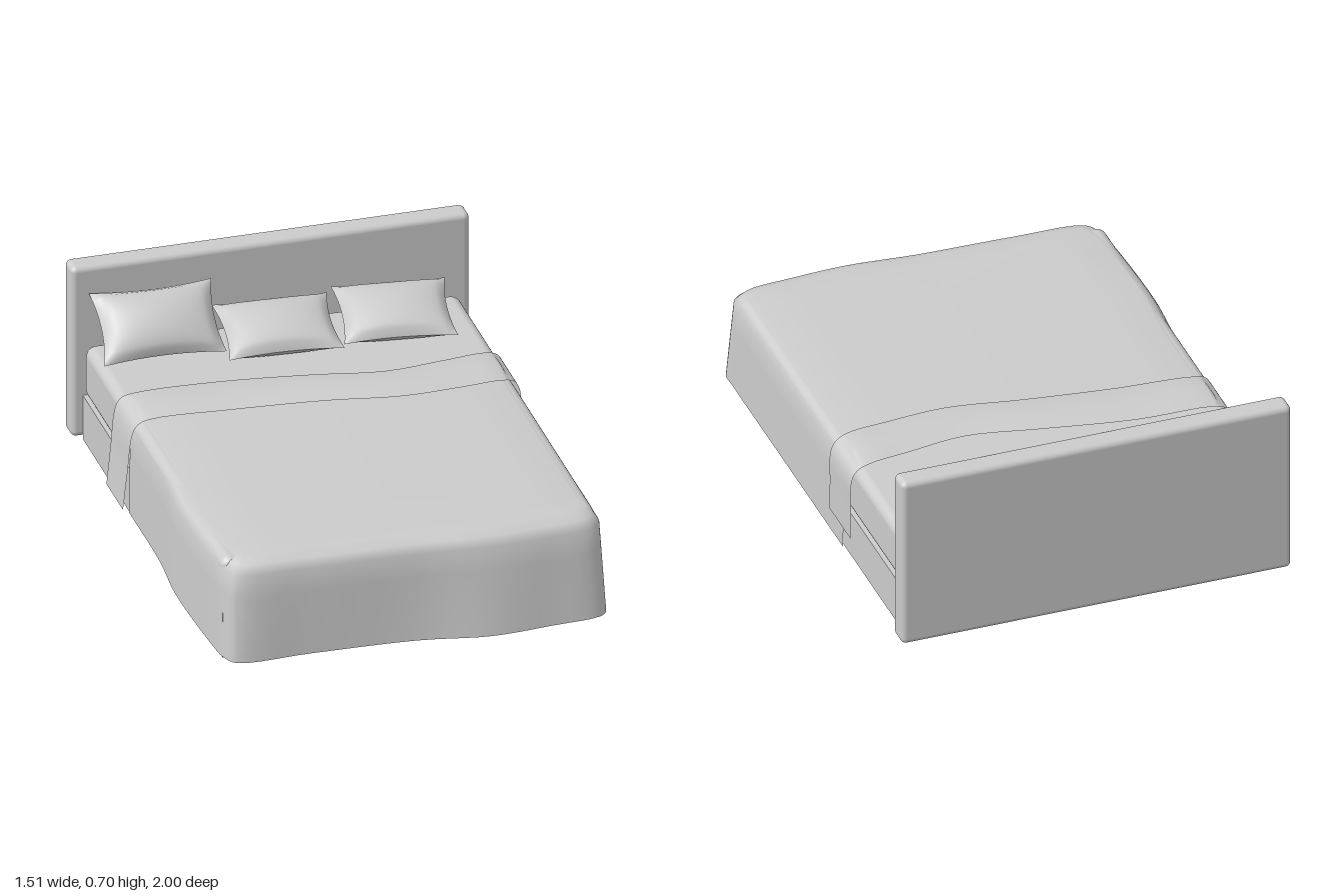
import * as THREE from 'three';
import { mergeGeometries } from 'three/addons/utils/BufferGeometryUtils.js';
import { RoundedBoxGeometry } from 'three/addons/geometries/RoundedBoxGeometry.js';

const solid = new THREE.MeshStandardMaterial({ color: 0xcccccc });
const cloth = new THREE.MeshStandardMaterial({ color: 0xcccccc, side: THREE.DoubleSide });
const V = (p) => new THREE.Vector3(...p);

// Smooth surface through a grid of points given by fn(u, v), u and v in 0..1
function sheet(nu, nv, fn) {
  const pos = [], index = [];
  for (let j = 0; j <= nv; j++)
    for (let i = 0; i <= nu; i++) pos.push(...fn(i / nu, j / nv).toArray());
  for (let j = 0; j < nv; j++)
    for (let i = 0; i < nu; i++) {
      const a = j * (nu + 1) + i, b = a + 1, c = a + nu + 1, d = c + 1;
      index.push(a, b, d, a, d, c);
    }
  const g = new THREE.BufferGeometry();
  g.setAttribute('position', new THREE.Float32BufferAttribute(pos, 3));
  g.setIndex(index);
  g.computeVertexNormals();
  return g;
}

// Box given by its limits, with an optional edge radius
function block(name, [x0, x1], [y0, y1], [z0, z1], r) {
  const size = [x1 - x0, y1 - y0, z1 - z0];
  const g = r ? new RoundedBoxGeometry(...size, 4, r) : new THREE.BoxGeometry(...size);
  g.translate((x0 + x1) / 2, (y0 + y1) / 2, (z0 + z1) / 2);
  const m = new THREE.Mesh(g, solid);
  m.name = name;
  return m;
}

// Cushion with a full middle, drawn-in sides and pointed corners
function pillowGeometry(w, d, t) {
  const face = (s) => sheet(20, 16, (a, b) => {
    const u = a * 2 - 1, v = b * 2 - 1;
    const puff = Math.pow((1 - u * u) * (1 - v * v), 0.5);
    return new THREE.Vector3(
      (u * w / 2) * (1 - 0.08 * (1 - v * v)),
      s * puff * t / 2,
      (-s * v * d / 2) * (1 - 0.1 * (1 - u * u)));
  });
  return mergeGeometries([face(1), face(-1)]);
}

// Quilt: hem, shoulder and top edge run from the left side round the foot to the right side
function quiltGeometry() {
  const hem = [[-0.72, -0.3], [-0.722, 0.1], [-0.74, 0.36], [-0.725, 0.78], [-0.715, 0.87], [-0.68, 0.935],
    [-0.4, 0.94], [0, 0.955], [0.27, 1], [0.5, 0.985], [0.69, 0.965], [0.722, 0.93], [0.725, 0.84],
    [0.725, 0.4], [0.725, 0], [0.725, -0.3]];
  const shoulder = [[-0.714, -0.3], [-0.714, 0.1], [-0.73, 0.36], [-0.716, 0.76], [-0.705, 0.84], [-0.67, 0.9],
    [-0.4, 0.92], [0, 0.93], [0.27, 0.95], [0.5, 0.94], [0.67, 0.92], [0.71, 0.88], [0.716, 0.8],
    [0.716, 0.4], [0.716, 0], [0.716, -0.3]];
  const curve = (pts, y, dx = 0, dz = 0) => new THREE.CatmullRomCurve3(
    pts.map(([x, z]) => V([x - Math.sign(x) * dx, y, z > 0.75 ? z - dz : z])));
  const rails = [curve(hem, 0.01), curve(shoulder, 0.35), curve(shoulder, 0.38, 0.02, 0.025),
    curve(shoulder, 0.397, 0.055, 0.07)];
  const rows = 9;
  return sheet(75, rows, (u, v) => {
    const k = Math.round(v * rows);
    if (k < 3) return rails[0].getPoint(u).lerp(rails[1].getPoint(u), k / 2.7);
    if (k === 3) return rails[1].getPoint(u);
    if (k < 6) return rails[k - 2].getPoint(u);
    const p = rails[3].getPoint(u);
    const spine = new THREE.Vector3(0, 0.405, Math.min(p.z, 0.6));
    return p.lerp(spine, (k - 5) / (rows - 5));
  });
}

// Turned-back band across the bed; each entry is x, y, back z, front z
function foldGeometry() {
  const cols = [[-0.757, 0.05, -0.46, -0.25], [-0.74, 0.2, -0.465, -0.25], [-0.722, 0.35, -0.47, -0.25],
    [-0.7, 0.39, -0.47, -0.25], [-0.65, 0.406, -0.465, -0.25], [-0.35, 0.41, -0.455, -0.23],
    [0, 0.415, -0.4, -0.19], [0.27, 0.415, -0.35, -0.145], [0.5, 0.412, -0.375, -0.155],
    [0.66, 0.408, -0.395, -0.17], [0.708, 0.39, -0.4, -0.18], [0.728, 0.35, -0.4, -0.18],
    [0.731, 0.22, -0.4, -0.18], [0.732, 0.105, -0.4, -0.18]];
  const back = new THREE.CatmullRomCurve3(cols.map(([x, y, b]) => V([x, y, b])));
  const front = new THREE.CatmullRomCurve3(cols.map(([x, y, , f]) => V([x, y, f])));
  return sheet(65, 6, (u, v) => {
    const p = front.getPoint(u).lerp(back.getPoint(u), v);
    if (p.y > 0.4) p.y += 0.014 * Math.sin(Math.PI * v);
    return p;
  });
}

export function createModel() {
  const bed = new THREE.Group();
  bed.name = 'bed';
  const add = (name, geometry) => {
    const m = new THREE.Mesh(geometry, cloth);
    m.name = name;
    bed.add(m);
    return m;
  };

  // Frame and mattress
  bed.add(block('headboard', [-0.755, 0.755], [0.01, 0.705], [-1, -0.908], 0.022));
  bed.add(block('base', [-0.712, 0.712], [0, 0.18], [-0.91, 0.86]));
  bed.add(block('mattress', [-0.71, 0.71], [0.18, 0.392], [-0.907, 0.85], 0.04));

  // Bedding
  add('quilt', quiltGeometry());
  add('quiltFold', foldGeometry());

  // Pillows: size, centre, tilt towards the headboard, turn
  const pillows = [
    ['uprightPillow', [0.46, 0.29, 0.13], [-0.465, 0.505, -0.785], 0.7, -0.03],
    ['middlePillow', [0.43, 0.3, 0.12], [-0.03, 0.458, -0.715], 0.27, -0.06],
    ['sidePillow', [0.42, 0.31, 0.12], [0.41, 0.458, -0.71], 0.27, -0.12],
  ];
  for (const [name, size, centre, tilt, turn] of pillows) {
    const p = add(name, pillowGeometry(...size));
    p.position.set(...centre);
    p.rotation.set(tilt, turn, 0, 'YXZ');
  }
  return bed;
}
